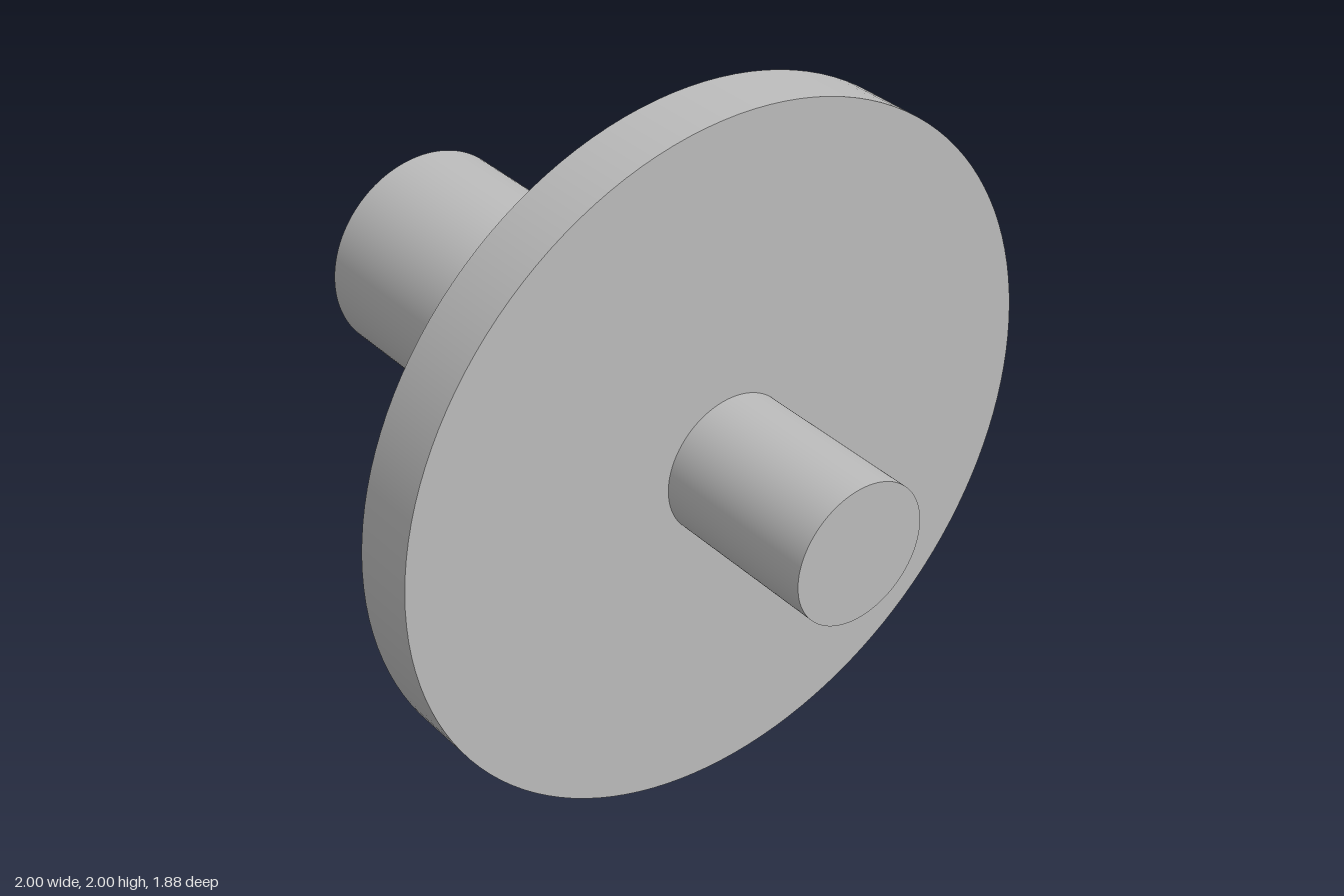
import * as THREE from 'three';

export function createModel() {
  const model = new THREE.Group();
  model.name = 'flangedShaft';
  const metal = new THREE.MeshStandardMaterial({ color: 0xbcbcbc });
  metal.name = 'plain grey metal';

  // Round section lying along z, between two z positions
  const addSection = (name, radius, zBack, zFront) => {
    const geometry = new THREE.CylinderGeometry(radius, radius, zFront - zBack, 128);
    geometry.rotateX(Math.PI / 2);
    const mesh = new THREE.Mesh(geometry, metal);
    mesh.name = name;
    mesh.position.set(0, 1, (zBack + zFront) / 2);
    model.add(mesh);
  };

  addSection('rearShaft', 0.31, -0.9375, 0.255); // thick shaft behind the disc
  addSection('disc', 1, 0.255, 0.44); // wide flange
  addSection('frontShaft', 0.2, 0.44, 0.9375); // thin stub in front

  return model;
}
